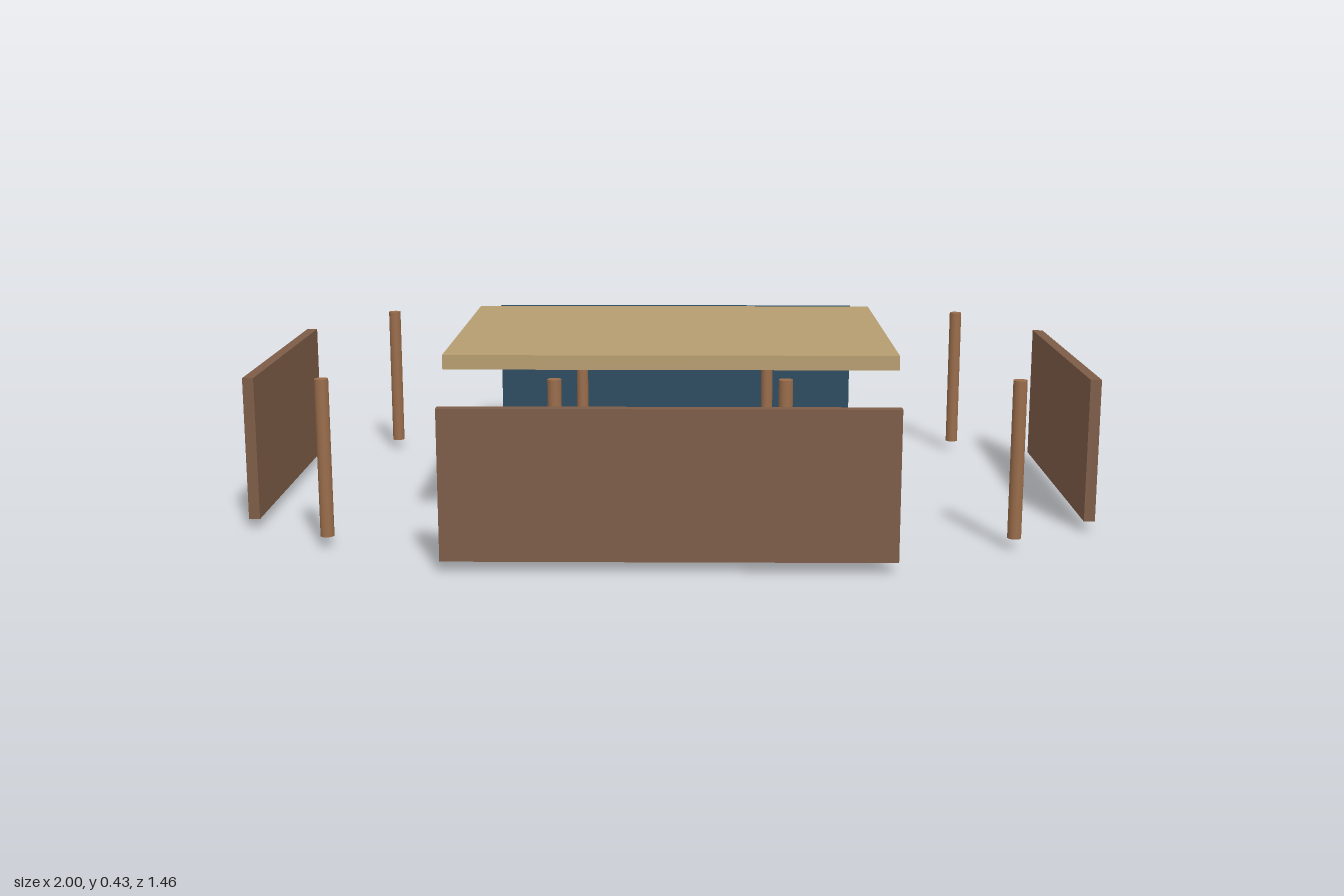
import * as THREE from 'three';

const material = (name, color) => {
  const m = new THREE.MeshStandardMaterial({ color });
  m.name = name;
  return m;
};

export function createModel() {
  const model = new THREE.Group();
  model.name = 'explodedHut';

  const darkWood = material('dark wood', 0x7d5c47);
  const wood = material('warm wood', 0x996c4a);
  const thatch = material('pale straw', 0xb69d70);
  const blue = material('deep blue', 0x27495e);

  const add = (name, geometry, mat, x, y, z, parent = model) => {
    const mesh = new THREE.Mesh(geometry, mat);
    mesh.name = name;
    mesh.position.set(x, y, z);
    parent.add(mesh);
    return mesh;
  };
  // Box given by its lower and upper limits on each axis
  const box = (name, mat, [x0, x1], [y0, y1], [z0, z1], parent) =>
    add(name, new THREE.BoxGeometry(x1 - x0, y1 - y0, z1 - z0), mat,
      (x0 + x1) / 2, (y0 + y1) / 2, (z0 + z1) / 2, parent);
  // Upright cylinder between two heights
  const rod = (name, mat, r, y0, y1, x, z, parent) =>
    add(name, new THREE.CylinderGeometry(r, r, y1 - y0, 16), mat, x, (y0 + y1) / 2, z, parent);

  // Floor and roof slabs
  box('floor', darkWood, [-0.5, 0.5], [0.01, 0.028], [-0.33, 0.385]);
  box('roof', thatch, [-0.528, 0.528], [0.394, 0.428], [-0.36, 0.41]);

  // Walls pulled away from the floor
  box('frontWall', darkWood, [-0.5, 0.5], [0.028, 0.368], [0.702, 0.728]);
  box('backWall', blue, [-0.512, 0.512], [0.003, 0.376], [-0.728, -0.71]);
  box('leftWall', darkWood, [0.974, 1], [0.028, 0.368], [-0.33, 0.385]);
  box('rightWall', darkWood, [-1, -0.974], [0.028, 0.368], [-0.33, 0.385]);

  // Two rows of four posts
  for (const z of [-0.475, 0.525])
    for (const x of [-0.785, -0.26, 0.26, 0.785])
      rod('post', wood, 0.016, 0.028, 0.394, x, z);

  // Bar counter with overhanging top
  const counter = new THREE.Group();
  counter.name = 'counter';
  model.add(counter);
  box('counterBase', wood, [-0.32, 0.32], [0.03, 0.167], [0.505, 0.585], counter);
  box('counterTop', wood, [-0.335, 0.335], [0.167, 0.178], [0.495, 0.594], counter);

  // Row of stools
  for (const x of [-0.343, -0.115, 0.113, 0.341]) {
    const stool = new THREE.Group();
    stool.name = 'stool';
    model.add(stool);
    rod('stoolLeg', wood, 0.007, 0.022, 0.092, x, 0.401, stool);
    rod('stoolSeat', thatch, 0.03, 0.092, 0.103, x, 0.401, stool);
  }

  return model;
}
